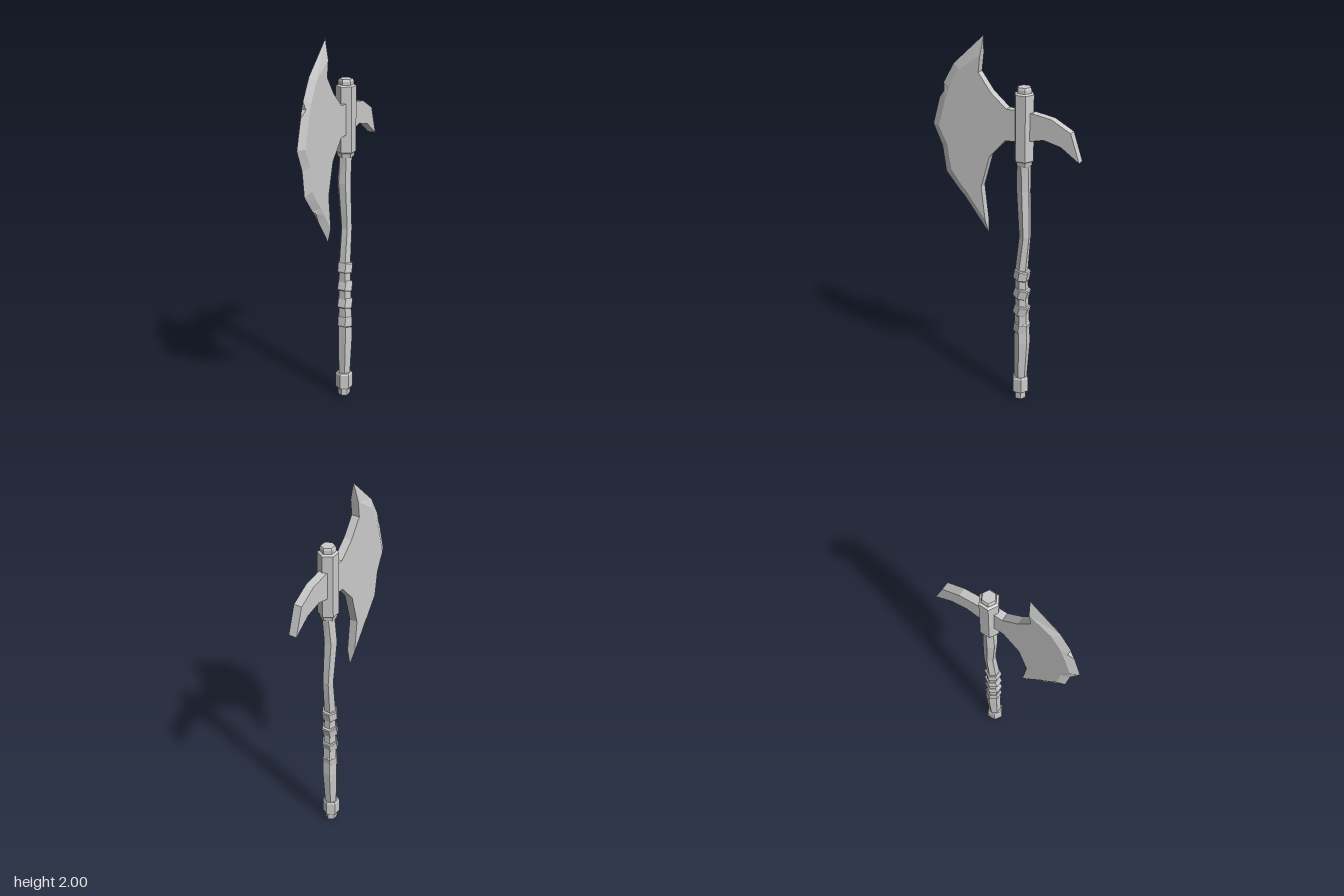
import * as THREE from 'three';

const T = 0.022; // half thickness of blade and spike
const material = new THREE.MeshStandardMaterial({ color: 0xcccccc, flatShading: true });

function add(parent, name, geometry) {
  const mesh = new THREE.Mesh(geometry, material);
  mesh.name = name;
  parent.add(mesh);
  return mesh;
}

// Closed six-sided turning from [radius, y] pairs, bottom to top
function hexTurning(profile) {
  const top = profile[profile.length - 1][1];
  const points = [[0, profile[0][1]], ...profile, [0, top]];
  return new THREE.LatheGeometry(points.map(([r, y]) => new THREE.Vector2(r, y)), 6);
}

// Crooked six-sided shaft through rings [y, x, z, radius, twist], top to bottom
function shaftGeometry(rings) {
  const geo = new THREE.CylinderGeometry(1, 1, 1, 6, rings.length - 1, true);
  const pos = geo.attributes.position;
  for (let i = 0; i < pos.count; i++) {
    const [y, x, z, r, twist] = rings[Math.floor(i / 7)];
    const a = (i % 7) * Math.PI / 3 + Math.PI / 6 + twist;
    pos.setXYZ(i, x + r * Math.sin(a), y, z + r * Math.cos(a));
  }
  geo.computeVertexNormals();
  return geo;
}

// Slab with a bevelled cutting edge. edge: [z, y, innerZ, innerY, half width],
// bottom to top; back: [z, y], top to bottom
function bladeGeometry(edge, back) {
  const out = [];
  const tri = (...pts) => pts.forEach(p => out.push(...p));
  const quad = (a, b, c, d) => { tri(a, b, c); tri(a, c, d); };
  const at = (p, x) => [x, p[1], p[0]];
  const inner = edge.map(e => [e[2], e[3]]);
  const loop = [...inner, ...back];

  // Flat cheeks
  const contour = loop.map(p => new THREE.Vector2(p[0], p[1]));
  for (const [a, b, c] of THREE.ShapeUtils.triangulateShape(contour, [])) {
    tri(at(loop[a], -T), at(loop[b], -T), at(loop[c], -T));
    tri(at(loop[a], T), at(loop[c], T), at(loop[b], T));
  }
  // Wall along the back
  const n = inner.length;
  for (let i = n - 1; i < loop.length; i++) {
    const a = loop[i], b = loop[(i + 1) % loop.length];
    quad(at(b, -T), at(a, -T), at(a, T), at(b, T));
  }
  // Bevels, with small flats where the edge is chipped
  for (let i = 0; i < n - 1; i++) {
    const [a, b, e, f] = [inner[i], inner[i + 1], edge[i], edge[i + 1]];
    const [we, wf] = [e[4] || 0, f[4] || 0];
    quad(at(b, -T), at(a, -T), at(e, -we), at(f, -wf));
    quad(at(f, wf), at(e, we), at(a, T), at(b, T));
    if (we) tri(at(f, 0), at(e, -we), at(e, we));
    if (wf) tri(at(f, -wf), at(e, 0), at(f, wf));
  }
  // Pointed horn ends
  tri(at(inner[n - 1], -T), at(edge[n - 1], 0), at(inner[n - 1], T));
  tri(at(edge[0], 0), at(inner[0], -T), at(inner[0], T));

  const geo = new THREE.BufferGeometry();
  geo.setAttribute('position', new THREE.Float32BufferAttribute(out, 3));
  geo.computeVertexNormals();
  return geo;
}

export function createModel() {
  const axe = new THREE.Group();
  axe.name = 'battleAxe';

  // Handle
  add(axe, 'shaft', shaftGeometry([
    [1.38, 0, -0.104, 0.036, 0],
    [1.22, -0.008, -0.1, 0.037, 0.15],
    [0.97, 0, -0.113, 0.031, 0.1],
    [0.77, 0, -0.094, 0.034, 0],
    [0.6, 0, -0.097, 0.036, 0],
    [0.35, 0, -0.1, 0.043, 0],
    [0.12, 0, -0.092, 0.034, 0],
  ]));

  // Pommel
  add(axe, 'pommel', hexTurning([
    [0.028, 0], [0.032, 0.008], [0.032, 0.045], [0.042, 0.045],
    [0.047, 0.053], [0.047, 0.128], [0.041, 0.138],
  ])).position.z = -0.09;

  // Slanted grip bands: [y, tilt]
  const band = hexTurning([[0.039, -0.03], [0.044, -0.024], [0.044, 0.024], [0.039, 0.03]]);
  band.rotateY(Math.PI / 6);
  for (const [y, tilt] of [[0.44, -0.12], [0.545, -0.27], [0.645, -0.28], [0.75, -0.18]]) {
    const mesh = add(axe, 'gripBand', band);
    mesh.position.set(0, y, -0.097);
    mesh.rotation.x = tilt;
  }

  // Head socket with cap
  add(axe, 'socket', hexTurning([
    [0.042, 1.36], [0.046, 1.38], [0.053, 1.388], [0.053, 1.73],
    [0.04, 1.737], [0.04, 1.755], [0.035, 1.766],
  ])).position.z = -0.104;

  // Crescent blade
  add(axe, 'blade', bladeGeometry([
    [0.095, 0.95, 0.106, 1.03],
    [0.2, 1.09, 0.175, 1.12],
    [0.235, 1.145, 0.21, 1.17, 0.008],
    [0.26, 1.162, 0.235, 1.195],
    [0.34, 1.257, 0.3, 1.28],
    [0.36, 1.395, 0.32, 1.41],
    [0.41, 1.507, 0.366, 1.507],
    [0.37, 1.655, 0.33, 1.64],
    [0.337, 1.695, 0.312, 1.69, 0.012],
    [0.345, 1.735, 0.303, 1.72],
    [0.286, 1.84, 0.25, 1.815],
    [0.117, 2.0, 0.128, 1.9],
  ], [
    [0.138, 1.814], [0.07, 1.72], [-0.016, 1.645], [-0.1, 1.645],
    [-0.1, 1.485], [-0.01, 1.48], [0.08, 1.38], [0.127, 1.21],
  ]));

  // Hooked rear spike
  const spikeShape = new THREE.Shape([
    [-0.11, 1.64], [-0.16, 1.64], [-0.26, 1.623], [-0.362, 1.567], [-0.41, 1.42],
    [-0.31, 1.49], [-0.218, 1.512], [-0.149, 1.496], [-0.11, 1.49],
  ].map(([z, y]) => new THREE.Vector2(z, y)));
  const spike = new THREE.ExtrudeGeometry(spikeShape, { depth: 2 * T, bevelEnabled: false });
  spike.rotateY(-Math.PI / 2);
  spike.translate(T, 0, 0);
  add(axe, 'rearSpike', spike);

  return axe;
}
